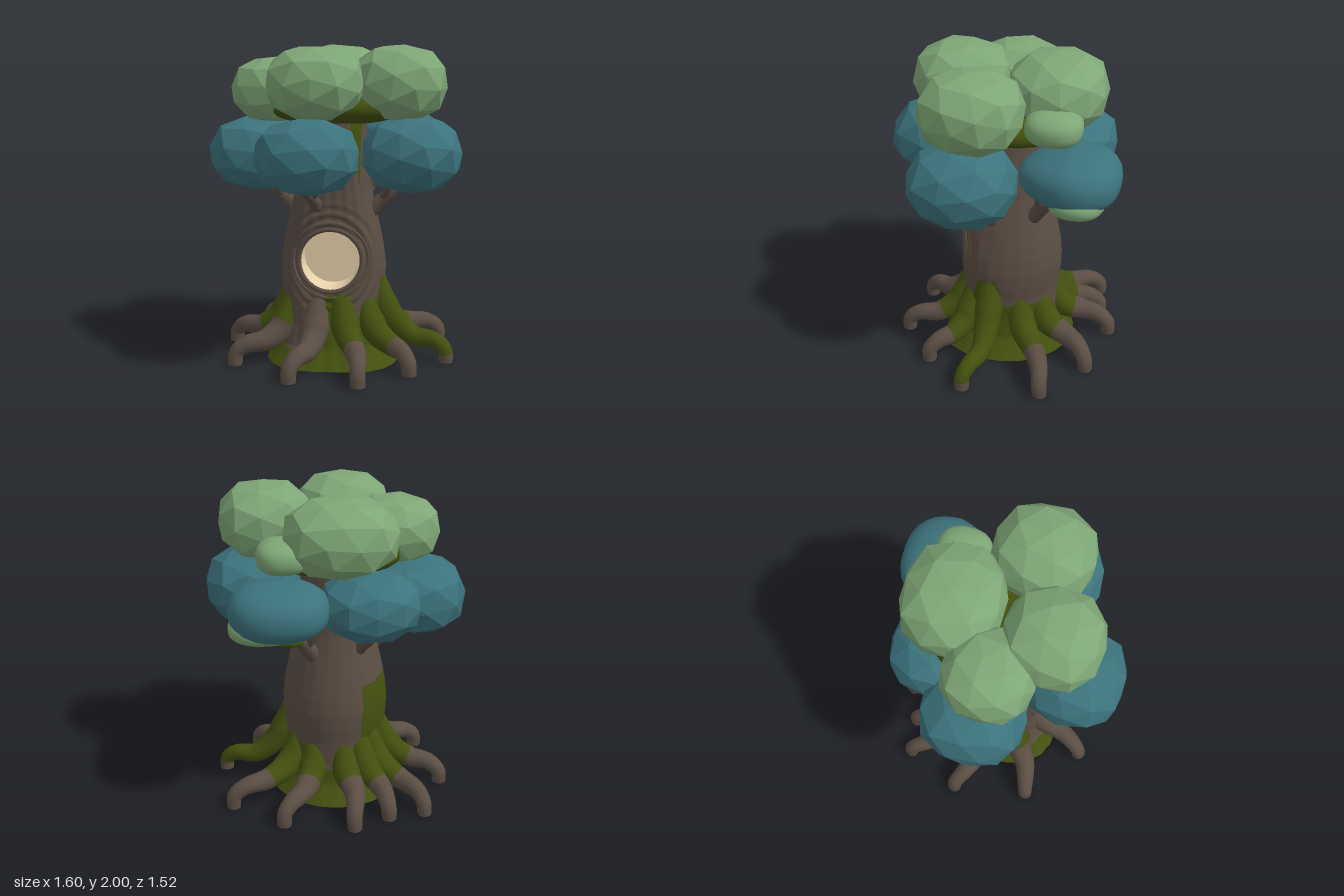
import * as THREE from 'three';
import { mergeVertices } from 'three/addons/utils/BufferGeometryUtils.js';

const mat = (name, color, extra = {}) => Object.assign(new THREE.MeshStandardMaterial({ color, ...extra }), { name });
const D = Math.PI / 180;

// Straight-line lookup in a short table of [key, value] pairs
function lookup(table, k) {
  for (let i = 1; i < table.length; i++) {
    const [k0, v0] = table[i - 1], [k1, v1] = table[i];
    if (k <= k1) return v0 + (v1 - v0) * Math.max(0, (k - k0) / (k1 - k0));
  }
  return table[table.length - 1][1];
}

// Trunk outlines by height: sides and flatter front
const SIDE = [[0, 0.43], [0.05, 0.39], [0.12, 0.34], [0.25, 0.32], [0.4, 0.322], [0.5, 0.334], [0.6, 0.338], [0.7, 0.328],
  [0.8, 0.31], [0.9, 0.288], [1, 0.264], [1.1, 0.245], [1.2, 0.235], [1.4, 0.215], [1.65, 0.2]];
const FRONT = [[0, 0.4], [0.05, 0.36], [0.12, 0.31], [0.25, 0.28], [0.4, 0.267], [0.55, 0.261], [1.2, 0.25], [1.65, 0.2]];
// Moss height by angle in degrees (0 = front, 90 = +x)
const MOSS = [[-180, 0.22], [-158, 0.3], [-154, 0.78], [-105, 0.8], [-88, 0.72], [-80, 0.7], [-74, 0.42], [-62, 0.3],
  [-55, 0.1], [-24, 0.1], [-14, 0.32], [-6, 0.47], [8, 0.5], [15, 0.4], [22, 0.3], [45, 0.33], [62, 0.42], [68, 0.54],
  [90, 0.55], [96, 0.36], [140, 0.36], [150, 0.22], [180, 0.22]];
// Small teal spots: angle, height, radius
const SPOTS = [[-92, 0.83, 0.026], [-78, 0.74, 0.022], [-76, 0.66, 0.03]];
const HOLE = { y: 0.672, r: 0.183 };

// Depth of the trunk front at sideways share s of its half width
const frontDepth = (y, s) => lookup(FRONT, y) * Math.sqrt(1 - Math.abs(s) ** 3.4);

// Point on the trunk surface with bark ridges bending around the hollow
function trunkPoint(a, y) {
  const r = lookup(SIDE, y), c = Math.cos(a), s = Math.sin(a);
  const z = c > 0 ? frontDepth(y, s) : (r + 0.022) * c;
  const d = Math.hypot(r * s, (y - HOLE.y) * 0.85);
  let k = 1 + 0.008 * Math.sin(a * 23 + 2 * Math.sin(y * 5)) * (0.4 + 0.6 * Math.max(0, c));
  if (c > 0 && d < 0.34) k += 0.03 * Math.cos((d - 0.2) * 120) * Math.min(1, (0.34 - d) / 0.1);
  return new THREE.Vector3(r * s * k, y, z * k);
}

function trunkGeometry() {
  const nA = 168, nY = 116, top = 1.65, pos = [], faces = [[], [], []];
  for (let j = 0; j <= nY; j++)
    for (let i = 0; i < nA; i++) pos.push(...trunkPoint((i / nA) * 2 * Math.PI - Math.PI, (j / nY) * top).toArray());
  for (let j = 0; j < nY; j++) for (let i = 0; i < nA; i++) {
    const deg = ((i + 0.5) / nA) * 360 - 180, y = ((j + 0.5) / nY) * top;
    const x = lookup(SIDE, y) * Math.sin(deg * D);
    if (Math.abs(deg) < 90 && Math.hypot(x, y - HOLE.y) < HOLE.r + 0.008) continue;
    const a = j * nA + i, b = j * nA + (i + 1) % nA, c = b + nA, d = a + nA;
    const mossy = y < lookup(MOSS, deg) || Math.abs(deg - 48) < (y - 1.15) * 40;
    const spot = SPOTS.some(([sd, sy, sr]) => Math.hypot((deg - sd) * 0.0055, y - sy) < sr);
    faces[spot ? 2 : mossy ? 1 : 0].push(a, b, c, a, c, d);
  }
  const g = new THREE.BufferGeometry();
  g.setAttribute('position', new THREE.Float32BufferAttribute(pos, 3));
  g.setIndex(faces.flat());
  let start = 0;
  faces.forEach((f, k) => {
    g.addGroup(start, f.length, k);
    start += f.length;
  });
  g.computeVertexNormals();
  return g;
}

// Point around the hollow's edge, lying on the trunk
function holeEdge(t, r) {
  const x = r * Math.cos(t), y = HOLE.y + r * Math.sin(t);
  return new THREE.Vector3(x, y, frontDepth(y, x / lookup(SIDE, y)));
}

// Wall and back of the hollow
function hollowGeometry() {
  const n = 48, pos = [], idx = [];
  for (let i = 0; i <= n; i++) {
    const p = holeEdge((i / n) * 2 * Math.PI, HOLE.r);
    pos.push(p.x, p.y, p.z, p.x, p.y, 0.06, p.x, p.y, 0.06, 0, HOLE.y, 0.06);
    const a = i * 4;
    if (i < n) idx.push(a, a + 1, a + 5, a, a + 5, a + 4, a + 2, a + 6, a + 3);
  }
  const g = new THREE.BufferGeometry();
  g.setAttribute('position', new THREE.Float32BufferAttribute(pos, 3));
  g.setIndex(idx);
  g.computeVertexNormals();
  return g;
}

// Tapered tube cut flat at the ground; the first part (split 0..1) is material 0, the rest material 1
function limb(points, radii, split = 0) {
  const seg = 30, sides = 12, curve = new THREE.CatmullRomCurve3(points);
  const g = new THREE.TubeGeometry(curve, seg, 1, sides, false), p = g.attributes.position, v = new THREE.Vector3();
  for (let i = 0; i < p.count; i++) {
    const u = Math.floor(i / (sides + 1)) / seg, c = curve.getPointAt(u);
    v.fromBufferAttribute(p, i).sub(c).multiplyScalar(u === 1 ? 0.001 : lookup(radii, u)).add(c);
    p.setXYZ(i, v.x, Math.max(0, v.y), v.z);
  }
  g.deleteAttribute('uv');
  g.deleteAttribute('normal');
  const m = mergeVertices(g, 1e-5), cut = Math.round(split * seg) * sides * 6;
  m.addGroup(0, cut, 0);
  m.addGroup(cut, seg * sides * 6 - cut, 1);
  m.computeVertexNormals();
  return m;
}

// Push a unit ball towards a rounded box, optionally thinner towards +z, and size it
function leafBall(g, radii, taper = 0) {
  const p = g.attributes.position, v = new THREE.Vector3(), e = 2.5;
  for (let i = 0; i < p.count; i++) {
    v.fromBufferAttribute(p, i);
    v.divideScalar((Math.abs(v.x) ** e + Math.abs(v.y) ** e + Math.abs(v.z) ** e) ** (1 / e));
    const thin = 1 - taper * Math.max(0, v.z);
    p.setXYZ(i, v.x * radii[0] * thin, v.y * radii[1] * thin, v.z * radii[2]);
  }
  g.computeVertexNormals();
  return g;
}

export function createModel() {
  const group = new THREE.Group();
  const bark = mat('bark brown', 0x5b4e44), moss = mat('moss green', 0x43500f);
  const leaf = mat('light leaf green', 0x7ea676), teal = mat('teal leaf', 0x3c737c);
  const cream = mat('cream wood', 0xead5ae, { side: THREE.DoubleSide });
  const add = (name, geo, material) => {
    const m = new THREE.Mesh(geo, material);
    m.name = name;
    group.add(m);
    return m;
  };

  // Trunk, underside and hollow
  add('trunk', trunkGeometry(), [bark, moss, teal]);
  const outline = Array.from({ length: 84 }, (_, i) => trunkPoint((i / 84) * 2 * Math.PI, 0));
  add('trunkBase', new THREE.ShapeGeometry(new THREE.Shape(outline.map((p) => new THREE.Vector2(p.x, p.z))))
    .rotateX(Math.PI / 2), moss);
  add('hollow', hollowGeometry(), cream);
  for (const [r, w] of [[0.198, 0.015], [0.236, 0.011]]) {
    const pts = Array.from({ length: 40 }, (_, i) => holeEdge((i / 40) * 2 * Math.PI, r));
    add('hollowRim', new THREE.TubeGeometry(new THREE.CatmullRomCurve3(pts, true), 80, w, 8, true), bark);
  }

  // Roots: tip x, tip z, start height, mossy share
  const roots = [[0.2, 0.64, 0.42, 0.5], [-0.22, 0.6, 0.38, 0], [-0.6, 0.3, 0.38, 0.25], [-0.68, -0.2, 0.42, 0.5],
    [-0.51, -0.57, 0.4, 0.5], [-0.28, -0.6, 0.38, 0.5], [-0.05, -0.69, 0.34, 0.4], [0.38, -0.6, 0.34, 0.4],
    [0.69, -0.36, 0.36, 0.5], [0.73, 0.13, 0.5, 0.85], [0.5, 0.41, 0.38, 0.55]];
  for (const [x, z, h, share] of roots) {
    const a = Math.atan2(x, z), tip = Math.hypot(x, z);
    const startR = Math.hypot(trunkPoint(a, h).x, trunkPoint(a, h).z) - 0.07;
    const at = (r, y, bend = 0) => new THREE.Vector3(Math.sin(a + bend) * r, y, Math.cos(a + bend) * r);
    const mid = startR + 0.1;
    add('root', limb([at(startR, h + 0.03), at(mid, h * 0.58, 0.04), at(mid + (tip - mid) * 0.42, 0.145, 0.07),
      at(tip - 0.08, 0.13, 0.03), at(tip - 0.01, 0.08), at(tip, 0), at(tip, -0.06)],
    [[0, 0.07], [0.25, 0.092], [0.5, 0.07], [0.75, 0.052], [1, 0.043]], share), [moss, bark]);
  }

  // Branches: angle in degrees, start height, end radius, end height, thickness
  const branches = [[-93, 0.98, 0.5, 1.2, 1], [78, 0.97, 0.5, 1.2, 1], [-20, 1.02, 0.52, 1.2, 0.75],
    [142, 0.96, 0.58, 1.27, 1], [-150, 1, 0.42, 1.27, 0.8]];
  for (const [deg, y, r, endY, w] of branches) {
    const at = (rad, h, turn = 0) => new THREE.Vector3(Math.sin((deg + turn) * D) * rad, h, Math.cos((deg + turn) * D) * rad);
    const dy = endY - y;
    add('branch', limb([at(0.2, y - 0.04), at(0.3, y + dy * 0.2), at(0.39, y + dy * 0.5), at(r, endY)],
      [[0, 0.065 * w], [0.35, 0.045 * w], [1, 0.02]]), [bark, bark]);
    for (const side of [-1, 1])
      add('twig', limb([at(0.32, y + dy * 0.28), at(0.37, y + dy * 0.6, side * 9), at(0.42, endY + 0.03, side * 17)],
        [[0, 0.03 * w], [1, 0.016]]), [bark, bark]);
  }

  // Faceted leaf clumps: centre, radii, colour
  const clumps = [
    ['upperFrontLeaves', [-0.085, 1.77, 0.3], [0.3, 0.225, 0.3], leaf],
    ['upperLeftLeaves', [0.415, 1.765, 0.12], [0.295, 0.235, 0.31], leaf],
    ['upperBackLeaves', [0.0, 1.77, -0.31], [0.345, 0.23, 0.305], leaf],
    ['upperRightLeaves', [-0.37, 1.72, 0], [0.275, 0.205, 0.275], leaf],
    ['lowerFrontLeaves', [-0.12, 1.345, 0.46], [0.315, 0.225, 0.305], teal],
    ['lowerLeftLeaves', [0.495, 1.335, 0.16], [0.31, 0.235, 0.325], teal],
    ['lowerRightLeaves', [-0.49, 1.315, -0.07], [0.315, 0.235, 0.325], teal],
    ['lowerBackLeaves', [-0.17, 1.37, -0.39], [0.3, 0.205, 0.275], teal]];
  clumps.forEach(([name, c, r, material], i) => {
    // The polyhedron shares no corners, so its normals come out flat
    const g = new THREE.IcosahedronGeometry(1, 1).rotateX(i * 1.3 + 0.4).rotateY(i * 0.9);
    add(name, leafBall(g, r), material).position.set(...c);
  });

  // Smooth leaf clumps at the back, and the mossy bed between the upper clumps
  const smooth = (name, c, r, material, taper) =>
    add(name, leafBall(new THREE.SphereGeometry(1, 32, 20), r, taper), material).position.set(...c);
  smooth('smoothLowerLeaves', [0.38, 1.4, -0.46], [0.295, 0.168, 0.3], teal, 0.3);
  smooth('smoothLeavesUnderside', [0.46, 1.31, -0.52], [0.215, 0.085, 0.17], leaf);
  smooth('undersideMoss', [0.32, 1.25, -0.59], [0.08, 0.03, 0.06], moss);
  smooth('smoothUpperLeaves', [0.34, 1.68, -0.35], [0.16, 0.1, 0.17], leaf);
  smooth('mossBed', [0.03, 1.62, -0.02], [0.44, 0.11, 0.41], moss);
  return group;
}
